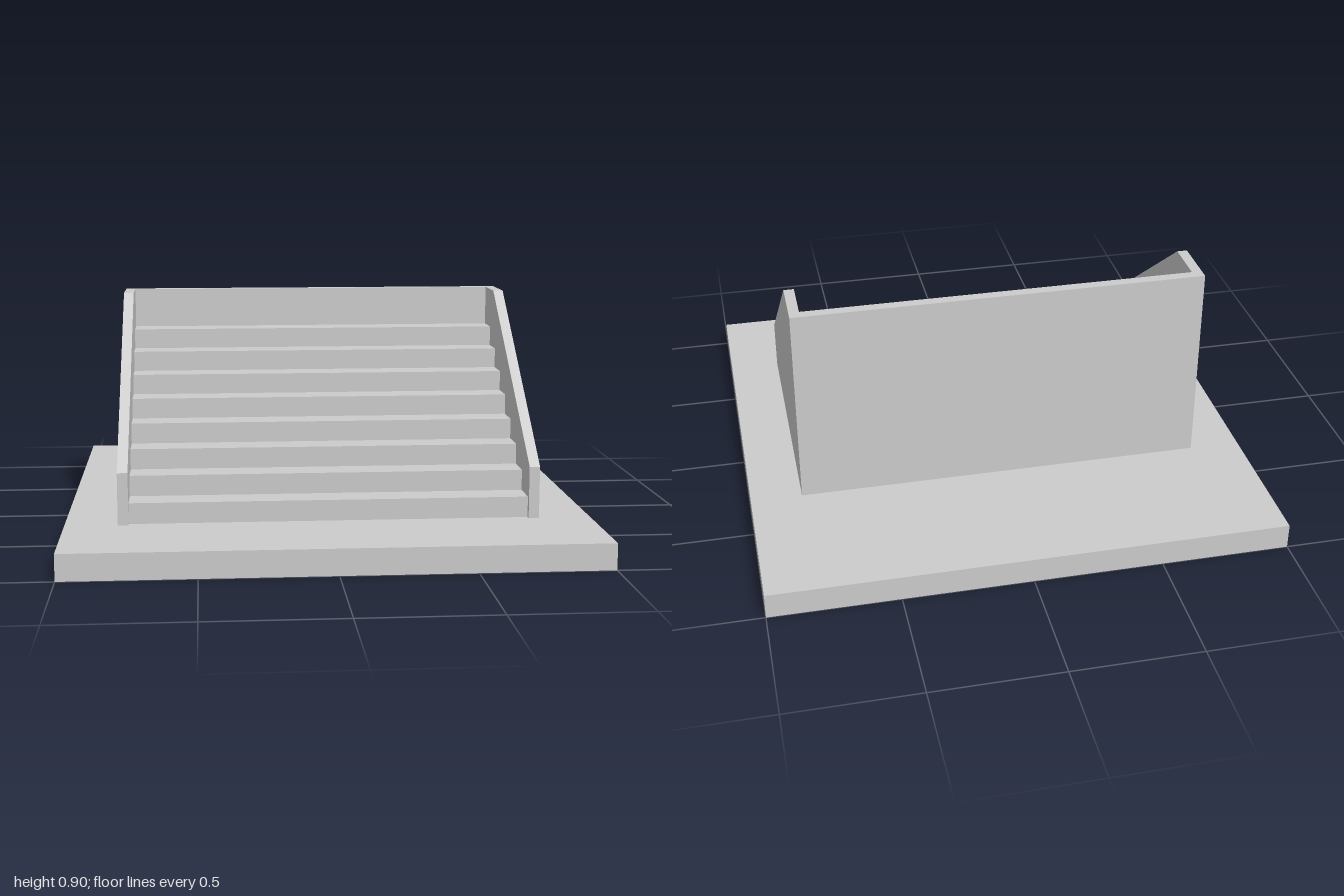
import * as THREE from 'three';

const material = new THREE.MeshStandardMaterial({ color: 0xcccccc, flatShading: true });

// Extrudes a [z, y] outline along x, centred on the given x.
function profile(name, points, width, x = 0) {
  const shape = new THREE.Shape(points.map(([z, y]) => new THREE.Vector2(z, y)));
  const geometry = new THREE.ExtrudeGeometry(shape, { depth: width, bevelEnabled: false });
  geometry.rotateY(-Math.PI / 2);
  geometry.translate(x + width / 2, 0, 0);
  const mesh = new THREE.Mesh(geometry, material);
  mesh.name = name;
  return mesh;
}

export function createModel() {
  const group = new THREE.Group();
  group.name = 'staircase';

  const ground = 0.1, top = 0.9, back = -0.42, wall = 0.04, inner = 1.52;

  // Base: a thin-walled box, open underneath
  const baseGeometry = new THREE.BoxGeometry(2, ground, 2);
  const index = Array.from(baseGeometry.index.array);
  index.splice(18, 6); // drop the bottom face
  baseGeometry.setIndex(index);
  baseGeometry.clearGroups();
  const baseMaterial = material.clone();
  baseMaterial.side = THREE.DoubleSide;
  const base = new THREE.Mesh(baseGeometry, baseMaterial);
  base.name = 'base';
  base.position.y = ground / 2;
  group.add(base);

  // Steps: one stepped outline
  const steps = 8, rise = 0.08, tread = 0.12, first = 0.58;
  const outline = [[first - steps * tread, ground], [first, ground]];
  for (let i = 0; i < steps; i++) {
    const y = ground + (i + 1) * rise;
    outline.push([first - i * tread, y], [first - (i + 1) * tread, y]);
  }
  outline.pop();
  outline.push([first - steps * tread, ground + steps * rise]);
  group.add(profile('steps', outline, inner));

  // Sloping side walls
  const side = [[back, ground], [0.6, ground], [0.6, 0.3], [-0.2, top], [back, top]];
  group.add(profile('leftWall', side, wall, (inner + wall) / 2));
  group.add(profile('rightWall', side, wall, -(inner + wall) / 2));

  // Back wall between the sides
  const rear = [[back, ground], [back + wall, ground], [back + wall, top], [back, top]];
  group.add(profile('backWall', rear, inner));

  return group;
}
